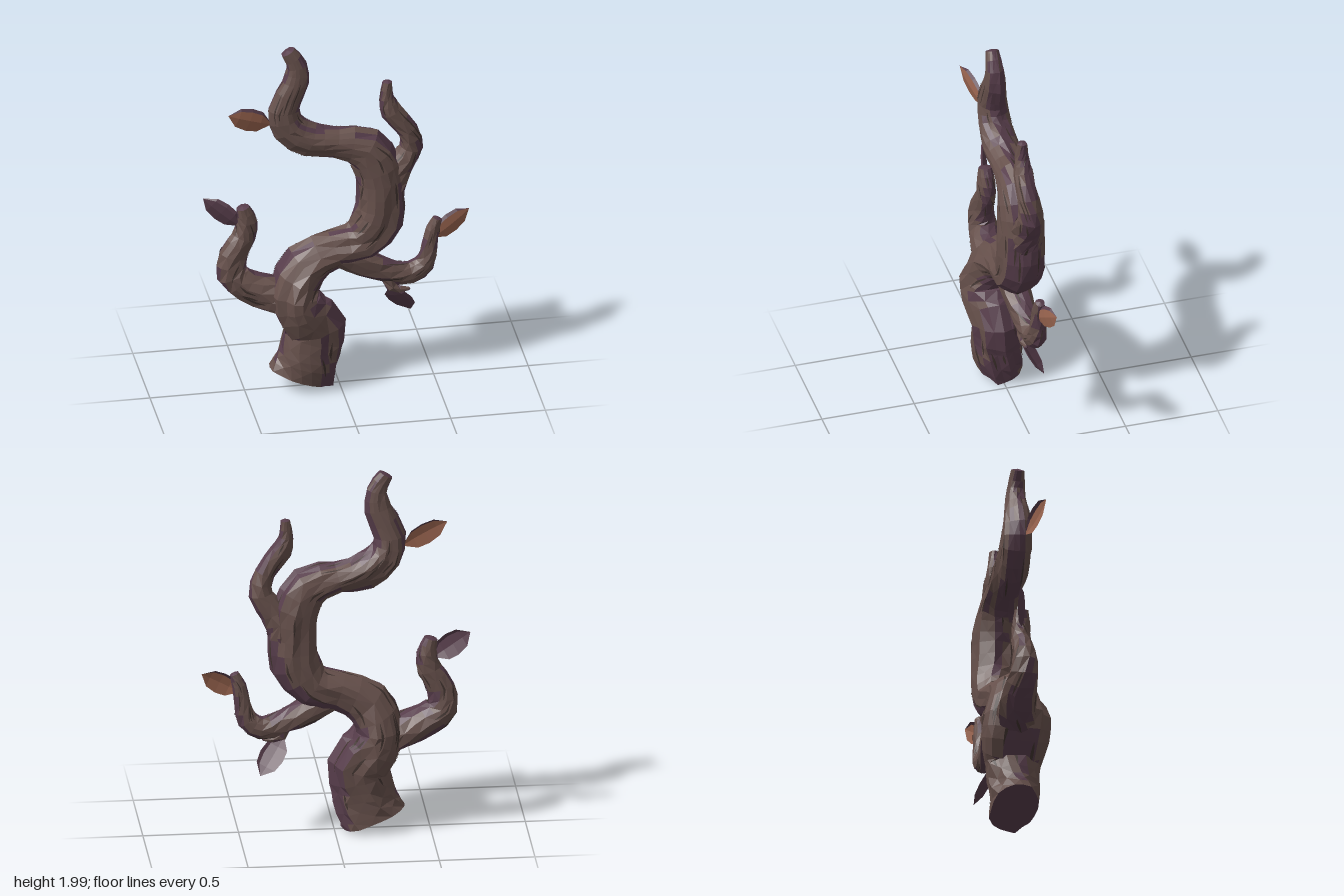
import * as THREE from 'three';

const mat = (name, color, side = THREE.FrontSide) => {
  const m = new THREE.MeshStandardMaterial({ color, side });
  m.name = name;
  return m;
};

// Repeatable noise in 0..1 for a pair of numbers
const hash = (a, b) => {
  const s = Math.sin(a * 127.1 + b * 311.7) * 43758.5453;
  return s - Math.floor(s);
};
const slowNoise = (a, b) => {
  const i = Math.floor(b), f = b - i;
  return hash(a, i) * (1 - f) + hash(a, i + 1) * f;
};

// Gnarled limb: each station is [x, y, z, radius in the plane, radius in depth]
function limb(name, stations, sides, steps, seed, mats, crackCount) {
  const group = new THREE.Group();
  group.name = name;
  const path = new THREE.CatmullRomCurve3(stations.map(s => new THREE.Vector3(s[0], s[1], s[2])));
  const size = new THREE.CatmullRomCurve3(stations.map(s => new THREE.Vector3(s[3], s[4], 0)));
  const depth = new THREE.Vector3(0, 0, 1);
  const rings = (stations.length - 1) * steps;

  // Corner of ring i, column j, with long ridges that drift along the limb
  const corner = (i, j, lift = 0) => {
    const t = i / rings, c = path.getPoint(t), r = size.getPoint(t);
    const n = depth.clone().cross(path.getTangent(t).setZ(0).normalize());
    const bump = 0.89 + 0.22 * slowNoise((j % sides) + seed, i / 2.5);
    const a = (j / sides) * Math.PI * 2 + 0.5 * Math.sin(t * 9 + seed);
    return c.addScaledVector(n, Math.cos(a) * (r.x * bump + lift))
      .addScaledVector(depth, Math.sin(a) * (r.y * bump + lift));
  };

  const faces = [[], []];
  const push = (list, ...pts) => pts.forEach(p => list.push(p.x, p.y, p.z));
  for (let i = 0; i < rings; i++) {
    for (let j = 0; j < sides; j++) {
      const a = corner(i, j), b = corner(i, j + 1), c = corner(i + 1, j + 1), d = corner(i + 1, j);
      const nrm = b.clone().sub(a).cross(d.clone().sub(a)).normalize();
      // Purple bark runs along the sides and undersides, brown on front and back
      const shade = 0.56 + 0.26 * nrm.x - 0.2 * nrm.y + 0.6 * (slowNoise(j + seed + 50, i / 4) - 0.5);
      const list = faces[Math.abs(nrm.z) < shade ? 1 : 0];
      if ((i + j) % 2) push(list, a, b, c, a, c, d);
      else push(list, a, b, d, b, c, d);
    }
  }
  // Slightly domed ends
  for (const t of [0, 1]) {
    const centre = path.getPoint(t).addScaledVector(path.getTangent(t), t ? 0.008 : -0.008);
    for (let j = 0; j < sides; j++) {
      const a = corner(t * rings, j), b = corner(t * rings, j + 1);
      if (t) push(faces[1], centre, a, b);
      else push(faces[1], centre, b, a);
    }
  }
  const geo = new THREE.BufferGeometry();
  geo.setAttribute('position', new THREE.Float32BufferAttribute([...faces[0], ...faces[1]], 3));
  geo.addGroup(0, faces[0].length / 3, 0);
  geo.addGroup(faces[0].length / 3, faces[1].length / 3, 1);
  geo.computeVertexNormals();
  const bark = new THREE.Mesh(geo, [mats.brown, mats.purple]);
  bark.name = name + 'Bark';
  group.add(bark);

  // Slender dark cracks following the grain, laid on the facets
  const onSurface = (u, v) => {
    const i = Math.floor(u), j = Math.floor(v), lift = 0.003;
    const low = corner(i, j, lift).lerp(corner(i, j + 1, lift), v - j);
    return low.lerp(corner(i + 1, j, lift).lerp(corner(i + 1, j + 1, lift), v - j), u - i);
  };
  const cracks = [];
  for (let k = 0; k < crackCount; k++) {
    const u0 = rings * (0.03 + 0.84 * (k + hash(seed, k)) / crackCount);
    const len = 1.2 + 1.3 * hash(k, seed + 3);
    const v0 = 1 + hash(k + 7, seed) * sides, drift = 0.8 * (hash(k, seed + 9) - 0.5);
    const row = s => {
      const u = Math.min(u0 + len * s, rings - 0.2), w = 0.14 * Math.sin(Math.PI * s) + 0.002;
      return [onSurface(u, v0 + drift * s - w), onSurface(u, v0 + drift * s + w)];
    };
    for (let s = 0; s < 6; s++) {
      const [a, b] = row(s / 6), [d, c] = row((s + 1) / 6);
      push(cracks, a, b, c, a, c, d);
    }
  }
  if (crackCount) {
    const cg = new THREE.BufferGeometry();
    cg.setAttribute('position', new THREE.Float32BufferAttribute(cracks, 3));
    cg.computeVertexNormals();
    const crackMesh = new THREE.Mesh(cg, mats.crack);
    crackMesh.name = name + 'Cracks';
    group.add(crackMesh);
  }
  return group;
}

// Folded leaf with a raised midrib and a margin along its upper edge
function leaf(name, base, tip, half, normal, blade, margin) {
  const b = new THREE.Vector3(...base), dir = new THREE.Vector3(...tip).sub(b);
  const across = new THREE.Vector3(...normal).cross(dir).normalize();
  if (across.y < 0) across.negate();
  const up = dir.clone().cross(across).normalize();
  if (up.z < 0) up.negate();
  const stations = [[0, 0.08], [0.25, 0.88], [0.5, 1], [0.76, 0.82], [1, 0]];
  const rows = stations.map(([t, w]) => [[-1, 0], [0, 0.012], [0.75, 0.006], [1, -0.008]].map(([s, h]) =>
    b.clone().addScaledVector(dir, t).addScaledVector(across, s * w * half).addScaledVector(up, h * w)));
  const pos = [];
  for (let s = 0; s < 3; s++) {
    for (let i = 0; i < 4; i++) {
      const [p, q, r, u] = [rows[i][s], rows[i + 1][s], rows[i + 1][s + 1], rows[i][s + 1]];
      [p, q, r, p, r, u].forEach(v => pos.push(v.x, v.y, v.z));
    }
  }
  const geo = new THREE.BufferGeometry();
  geo.setAttribute('position', new THREE.Float32BufferAttribute(pos, 3));
  geo.addGroup(0, 48, 0);
  geo.addGroup(48, 24, 1);
  geo.computeVertexNormals();
  const mesh = new THREE.Mesh(geo, [blade, margin]);
  mesh.name = name;
  return mesh;
}

export function createModel() {
  const mats = {
    brown: mat('brownBark', 0x66504b),
    purple: mat('purpleBark', 0x573d4b),
    crack: mat('darkCrack', 0x40332f, THREE.DoubleSide),
  };
  const orange = mat('orangeLeaf', 0x99644f, THREE.DoubleSide);
  const plum = mat('plumLeaf', 0x573d4b, THREE.DoubleSide);
  const tree = new THREE.Group();
  tree.name = 'gnarledTree';

  // Winding trunk from the slanted cut base to the top tip
  tree.add(limb('trunk', [
    [-0.2, 0.066, 0, 0.172, 0.124], [-0.17, 0.145, 0, 0.16, 0.128], [-0.15, 0.24, 0, 0.155, 0.132],
    [-0.13, 0.35, 0, 0.157, 0.146], [-0.205, 0.46, 0, 0.138, 0.176], [-0.24, 0.57, 0, 0.125, 0.174],
    [-0.17, 0.715, -0.005, 0.13, 0.125], [-0.02, 0.79, -0.015, 0.105, 0.102], [0.12, 0.825, -0.02, 0.113, 0.115],
    [0.212, 0.95, -0.02, 0.13, 0.124], [0.224, 1.1, -0.015, 0.125, 0.12], [0.207, 1.25, -0.015, 0.122, 0.12],
    [0.135, 1.375, -0.01, 0.112, 0.104], [-0.02, 1.42, -0.01, 0.08, 0.09], [-0.16, 1.45, -0.01, 0.095, 0.09],
    [-0.265, 1.53, -0.008, 0.09, 0.085], [-0.29, 1.64, -0.005, 0.083, 0.076], [-0.228, 1.79, 0, 0.071, 0.058],
    [-0.222, 1.89, 0, 0.053, 0.048], [-0.272, 1.978, 0, 0.038, 0.034],
  ], 18, 2, 3, mats, 64));

  // Side branches
  tree.add(limb('leftLowBranch', [
    [-0.2, 0.49, 0, 0.1, 0.12], [-0.36, 0.555, -0.025, 0.102, 0.105], [-0.49, 0.615, -0.03, 0.087, 0.088],
    [-0.56, 0.68, -0.03, 0.08, 0.075], [-0.555, 0.79, -0.03, 0.072, 0.06], [-0.497, 0.89, -0.03, 0.064, 0.052],
    [-0.483, 0.98, -0.03, 0.055, 0.047], [-0.505, 1.065, -0.03, 0.036, 0.036],
  ], 12, 2, 21, mats, 18));
  tree.add(limb('rightLowBranch', [
    [0.0, 0.76, -0.01, 0.07, 0.08], [0.14, 0.685, -0.02, 0.078, 0.075], [0.27, 0.625, -0.025, 0.064, 0.065],
    [0.385, 0.6, -0.03, 0.06, 0.056], [0.455, 0.645, -0.03, 0.053, 0.05], [0.48, 0.74, -0.03, 0.042, 0.042],
    [0.5, 0.84, -0.03, 0.036, 0.034], [0.525, 0.905, -0.03, 0.026, 0.025],
  ], 11, 2, 38, mats, 16));
  tree.add(limb('upperRightBranch', [
    [0.215, 0.97, -0.015, 0.075, 0.08], [0.272, 1.13, -0.02, 0.08, 0.088], [0.32, 1.245, -0.02, 0.073, 0.078],
    [0.385, 1.345, -0.02, 0.062, 0.062], [0.363, 1.455, -0.01, 0.053, 0.052], [0.28, 1.57, -0.01, 0.057, 0.047],
    [0.252, 1.65, -0.01, 0.037, 0.037], [0.257, 1.745, -0.01, 0.025, 0.024],
  ], 11, 2, 55, mats, 16));
  tree.add(limb('smallTwig', [
    [0.26, 0.59, -0.01, 0.035, 0.035], [0.28, 0.54, -0.005, 0.032, 0.03], [0.32, 0.52, 0, 0.022, 0.02],
    [0.37, 0.52, 0, 0.01, 0.01],
  ], 7, 1, 70, mats, 0));

  // Leaves
  tree.add(leaf('upperLeaf', [-0.365, 1.57, 0.02], [-0.6, 1.67, 0.08], 0.062, [0.25, 0, 1], orange, plum));
  tree.add(leaf('rightLeaf', [0.5, 0.8, -0.02], [0.7, 0.925, -0.07], 0.058, [0.25, 0, 1], orange, plum));
  tree.add(leaf('leftLeaf', [-0.52, 0.96, -0.03], [-0.705, 1.11, -0.08], 0.064, [-0.4, -0.2, 0.9], plum, plum));
  tree.add(leaf('lowerLeaf', [0.265, 0.53, 0], [0.395, 0.35, -0.09], 0.068, [-0.5, -1, 1.2], plum, plum));
  return tree;
}
